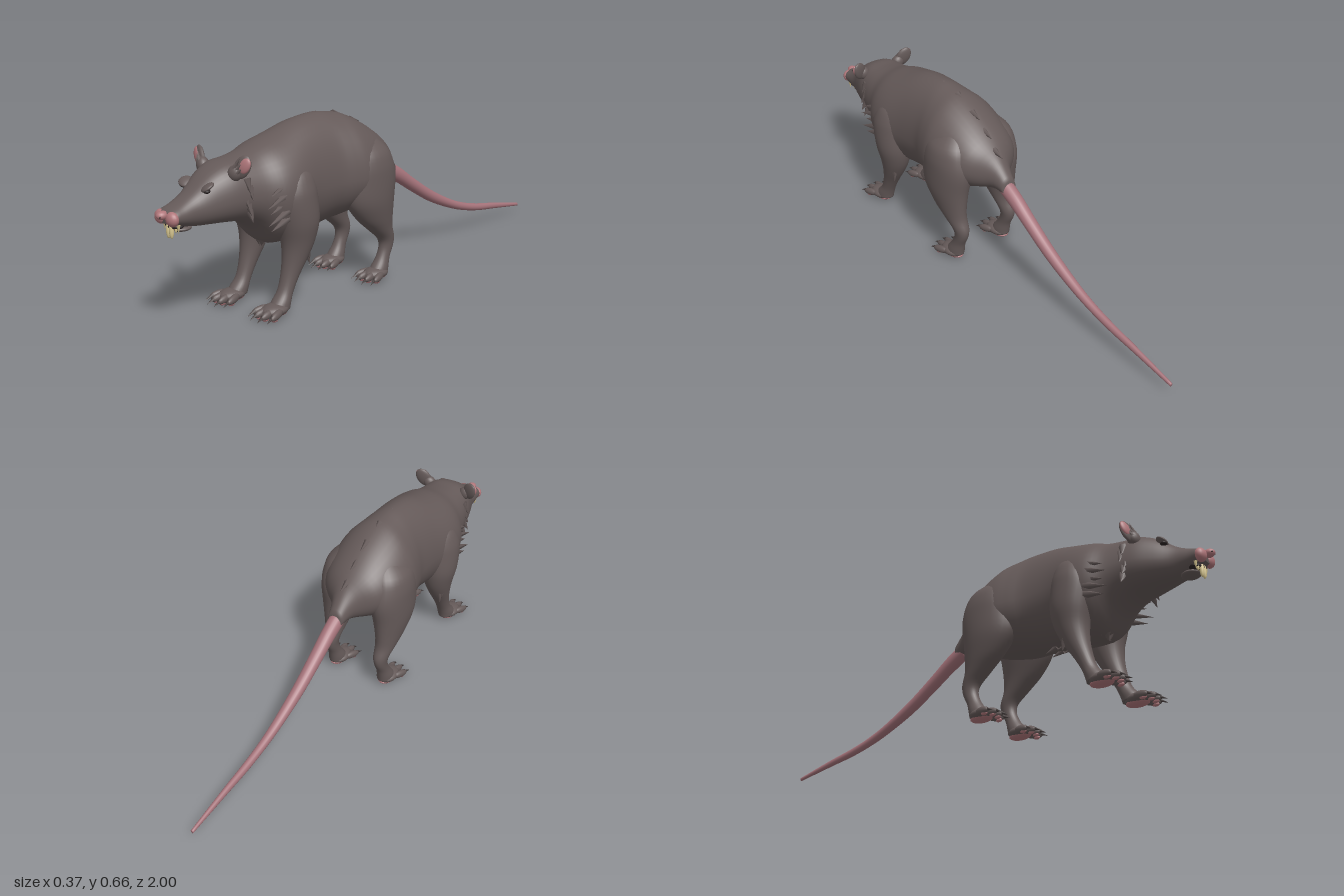
import * as THREE from 'three';

const material = (name, color) => Object.assign(new THREE.MeshStandardMaterial({ color }), { name });

// Catmull-Rom subdivision of every column in a table of cross-sections
function smoothRows(rows, steps) {
  const out = [];
  for (let i = 0; i < rows.length - 1; i++) {
    const a = rows[Math.max(i - 1, 0)], b = rows[i], c = rows[i + 1], d = rows[Math.min(i + 2, rows.length - 1)];
    for (let s = 0; s < steps; s++) {
      const t = s / steps;
      out.push(b.map((v, k) => v + 0.5 * t * (c[k] - a[k]
        + t * (2 * a[k] - 5 * v + 4 * c[k] - d[k] + t * (3 * (v - c[k]) + d[k] - a[k])))));
    }
  }
  out.push(rows[rows.length - 1]);
  return out;
}

// Closed smooth skin through rings given by point(row, angle)
function loft(rows, point, sides = 28, steps = 4) {
  const rings = smoothRows(rows, steps).map(r =>
    Array.from({ length: sides }, (_, j) => point(r, (j / sides) * Math.PI * 2)));
  const collapse = ring => {
    const c = [0, 1, 2].map(k => ring.reduce((sum, p) => sum + p[k], 0) / sides);
    return ring.map(() => c);
  };
  rings.unshift(collapse(rings[0]));
  rings.push(collapse(rings[rings.length - 1]));
  const index = [];
  for (let i = 0; i < rings.length - 1; i++) {
    for (let j = 0; j < sides; j++) {
      const k = (j + 1) % sides, a = i * sides, b = a + sides;
      index.push(a + j, a + k, b + j, a + k, b + k, b + j);
    }
  }
  const g = new THREE.BufferGeometry();
  g.setAttribute('position', new THREE.Float32BufferAttribute(rings.flat(2), 3));
  g.setIndex(index);
  g.computeVertexNormals();
  return g;
}

// Row [z, top, widest height, bottom, half width, boxiness exponent]
const uprightRing = ([z, top, mid, bottom, w, q = 1], a) => [
  w * Math.sign(Math.cos(a)) * Math.abs(Math.cos(a)) ** q,
  mid + Math.sin(a) * (Math.sin(a) > 0 ? top - mid : mid - bottom), z];
// Row [y, x, z, rx, rz]
const levelRing = side => ([y, x, z, rx, rz], a) => [side * x + rx * Math.cos(a), y, z + rz * Math.sin(a)];

export function createModel() {
  const model = new THREE.Group();
  model.name = 'rat';
  const fur = material('dark fur', 0x655a59);
  const tailSkin = material('tail skin', 0xa5737a);
  const pink = material('pink skin', 0xb0777b);
  const ivory = material('tooth ivory', 0xd9c891);
  const horn = material('claw horn', 0x4a4140);
  const black = material('mouth and eye black', 0x2b2424);

  const add = (name, geometry, mat, parent = model) => {
    const mesh = new THREE.Mesh(geometry, mat);
    mesh.name = name;
    parent.add(mesh);
    return mesh;
  };
  const blob = (name, mat, pos, radii, parent) => {
    const mesh = add(name, new THREE.SphereGeometry(1, 20, 14), mat, parent);
    mesh.position.set(...pos);
    mesh.scale.set(...radii);
    return mesh;
  };
  const up = new THREE.Vector3(0, 1, 0);
  const spike = (name, mat, pos, dir, length, radius, parent) => {
    const g = new THREE.ConeGeometry(radius, length, 6).translate(0, length / 2, 0);
    const mesh = add(name, g, mat, parent);
    mesh.position.set(...pos);
    mesh.quaternion.setFromUnitVectors(up, new THREE.Vector3(...dir).normalize());
  };

  // Trunk, neck and head in one skin
  add('body', loft([
    [-0.12, 0.41, 0.375, 0.345, 0.03, 1], [-0.06, 0.475, 0.41, 0.35, 0.052, 1], [0, 0.538, 0.43, 0.335, 0.12, 1],
    [0.08, 0.595, 0.42, 0.30, 0.16, 1.05], [0.17, 0.639, 0.42, 0.275, 0.174, 1.05], [0.235, 0.653, 0.42, 0.262, 0.163, 1.1],
    [0.3, 0.66, 0.42, 0.255, 0.148, 1.1], [0.4, 0.649, 0.42, 0.24, 0.151, 1.05], [0.5, 0.62, 0.42, 0.228, 0.168, 1.05],
    [0.57, 0.60, 0.42, 0.24, 0.163, 1], [0.63, 0.578, 0.43, 0.305, 0.136, 0.95], [0.69, 0.565, 0.44, 0.343, 0.119, 0.8],
    [0.75, 0.558, 0.44, 0.355, 0.106, 0.72], [0.81, 0.53, 0.43, 0.36, 0.085, 0.75], [0.87, 0.482, 0.42, 0.365, 0.062, 0.8],
    [0.92, 0.454, 0.414, 0.376, 0.054, 0.75], [0.955, 0.441, 0.414, 0.386, 0.051, 0.75], [0.97, 0.432, 0.413, 0.393, 0.04, 0.8],
  ], uprightRing, 40), fur);

  // Tail sagging down and back
  add('tail', loft([
    [-1, 0.047, 0.04, 0.033, 0.006], [-0.82, 0.085, 0.072, 0.059, 0.011], [-0.7, 0.107, 0.091, 0.076, 0.014],
    [-0.6, 0.132, 0.115, 0.098, 0.016], [-0.5, 0.17, 0.15, 0.13, 0.019], [-0.37, 0.237, 0.211, 0.185, 0.023],
    [-0.25, 0.314, 0.284, 0.254, 0.026], [-0.17, 0.37, 0.336, 0.303, 0.028], [-0.08, 0.42, 0.385, 0.35, 0.03],
  ], uprightRing, 20, 6), tailSkin);

  const foreleg = [
    [0.54, 0.07, 0.49, 0.03, 0.03], [0.5, 0.088, 0.495, 0.065, 0.065], [0.45, 0.1, 0.5, 0.076, 0.085],
    [0.4, 0.105, 0.5, 0.079, 0.09], [0.32, 0.114, 0.49, 0.07, 0.08], [0.25, 0.112, 0.49, 0.057, 0.064],
    [0.19, 0.111, 0.505, 0.044, 0.049], [0.13, 0.11, 0.53, 0.033, 0.035], [0.08, 0.11, 0.553, 0.029, 0.03],
    [0.045, 0.111, 0.575, 0.033, 0.038], [0.022, 0.112, 0.587, 0.034, 0.044],
  ];
  const hindLeg = [
    [0.56, 0.07, 0.13, 0.035, 0.05], [0.51, 0.095, 0.127, 0.067, 0.095], [0.46, 0.105, 0.125, 0.076, 0.115],
    [0.4, 0.108, 0.123, 0.077, 0.125], [0.32, 0.115, 0.123, 0.068, 0.113], [0.25, 0.118, 0.1, 0.052, 0.085],
    [0.2, 0.117, 0.07, 0.04, 0.057], [0.155, 0.115, 0.036, 0.03, 0.038], [0.12, 0.115, 0.033, 0.025, 0.031],
    [0.08, 0.115, 0.05, 0.025, 0.029], [0.045, 0.115, 0.068, 0.031, 0.038], [0.022, 0.115, 0.078, 0.033, 0.044],
  ];

  // Paw with four clawed toes and a pink sole
  const addPaw = (name, x, z, side) => {
    const paw = new THREE.Group();
    paw.name = name;
    paw.position.set(x, 0, z);
    model.add(paw);
    blob('palm', fur, [0, 0.025, 0], [0.042, 0.022, 0.054], paw);
    blob('sole', pink, [0, 0.013, -0.006], [0.031, 0.013, 0.047], paw);
    [-0.045, -0.016, 0.016, 0.045].forEach((offset, i) => {
      const reach = i === 0 || i === 3 ? 0.028 : 0.044;
      const tx = offset * side;
      const toe = blob('toe', fur, [tx * 0.9, 0.022, reach], [0.0125, 0.015, 0.036], paw);
      toe.rotation.set(0.15, tx * 6, 0);
      blob('toePad', pink, [tx * 0.95, 0.009, reach + 0.012], [0.008, 0.008, 0.014], paw);
      spike('claw', horn, [tx, 0.023, reach + 0.022], [tx * 4, -0.45, 1], 0.038, 0.008, paw);
    });
  };

  for (const s of [1, -1]) {
    const label = s > 0 ? 'left' : 'right';
    add(label + 'Foreleg', loft(foreleg, levelRing(s), 28), fur);
    add(label + 'HindLeg', loft(hindLeg, levelRing(s), 28), fur);
    addPaw(label + 'ForePaw', s * 0.113, 0.607, s);
    addPaw(label + 'HindPaw', s * 0.115, 0.09, s);

    // Ear rooted in the skull, pink lining toward the outer rim
    const ear = new THREE.Group();
    ear.name = label + 'Ear';
    ear.position.set(s * 0.108, 0.553, 0.73);
    ear.rotation.set(-0.1, s * 0.3, -s * 0.5);
    model.add(ear);
    blob('earShell', fur, [0, 0, 0], [0.03, 0.043, 0.012], ear);
    blob('earLining', pink, [s * 0.008, 0.011, 0.006], [0.02, 0.029, 0.009], ear);
    blob('earRoot', fur, [-s * 0.012, -0.032, 0], [0.026, 0.03, 0.022], ear);
    for (let i = 0; i < 3; i++) {
      spike('earTuft', fur, [-s * (0.02 - i * 0.008), -0.03, 0.01], [s * (0.05 + i * 0.15), 1, 0.05], 0.055 - i * 0.008, 0.011, ear);
    }

    // Narrow eye under a heavy slanted brow
    blob(label + 'Eye', black, [s * 0.06, 0.485, 0.842], [0.012, 0.007, 0.012]);
    const brow = blob(label + 'Brow', fur, [s * 0.056, 0.497, 0.835], [0.026, 0.009, 0.024]);
    brow.rotation.set(0.5, 0, s * 0.3);

    // Muzzle front and teeth
    blob(label + 'MuzzlePad', pink, [s * 0.0285, 0.411, 0.96], [0.0265, 0.025, 0.02]);
    blob(label + 'Nostril', black, [s * 0.009, 0.421, 0.993], [0.004, 0.003, 0.004]);
    blob(label + 'UpperIncisor', ivory, [s * 0.008, 0.367, 0.95], [0.0085, 0.028, 0.008]);
    blob(label + 'LowerTooth', ivory, [s * 0.022, 0.374, 0.943], [0.005, 0.013, 0.005]);
    spike(label + 'SideTooth', ivory, [s * 0.036, 0.39, 0.943], [0, -1, 0], 0.03, 0.007);

    // Ragged fur on cheeks, shoulders, elbows and haunches
    for (let i = 0; i < 5; i++) {
      spike(label + 'CheekTuft', fur, [s * (0.095 + 0.004 * (i % 2)), 0.4 + i * 0.026, 0.695 + 0.008 * (i % 3)],
        [s * 0.5, -0.8, 0.1], 0.05, 0.018);
      spike(label + 'ShoulderTuft', fur, [s * (0.138 + 0.006 * (i % 2)), 0.35 + i * 0.03, 0.56],
        [s * 0.1, -0.35, 1], 0.09 + 0.02 * (i % 2), 0.017);
      spike(label + 'ElbowTuft', fur, [s * (0.152 - i * 0.005), 0.29 - i * 0.02, 0.485 - i * 0.004],
        [s * 0.15, -1, -0.15], 0.05, 0.016);
    }
    for (let i = 0; i < 3; i++) {
      spike(label + 'ChestTuft', fur, [s * (0.012 + i * 0.024), 0.262 + i * 0.012, 0.565 - i * 0.01],
        [-s * 0.2, -1, 0], 0.042, 0.022);
      spike(label + 'BellyTuft', fur, [s * 0.02, 0.252, 0.36 + i * 0.05], [0, -0.25, -1], 0.055, 0.013);
      spike(label + 'RumpTuft', fur, [s * (0.02 + 0.012 * (i % 2)), 0.43 + i * 0.034, -0.06 + i * 0.035],
        [s * 0.1, -0.5, -1], 0.05, 0.013);
    }
  }

  // Nose, mouth and ridge of the back
  blob('nose', pink, [0, 0.423, 0.978], [0.018, 0.015, 0.022]);
  blob('mouth', black, [0, 0.38, 0.93], [0.038, 0.012, 0.026]);
  blob('lowerLip', fur, [0, 0.366, 0.905], [0.034, 0.011, 0.035]);
  for (const [y, z] of [[0.5, -0.025], [0.555, 0.04], [0.603, 0.11], [0.64, 0.2], [0.648, 0.29]]) {
    spike('ridgeTuft', fur, [0, y, z], [0, -0.25, -1], 0.055, 0.014);
  }
  return model;
}
